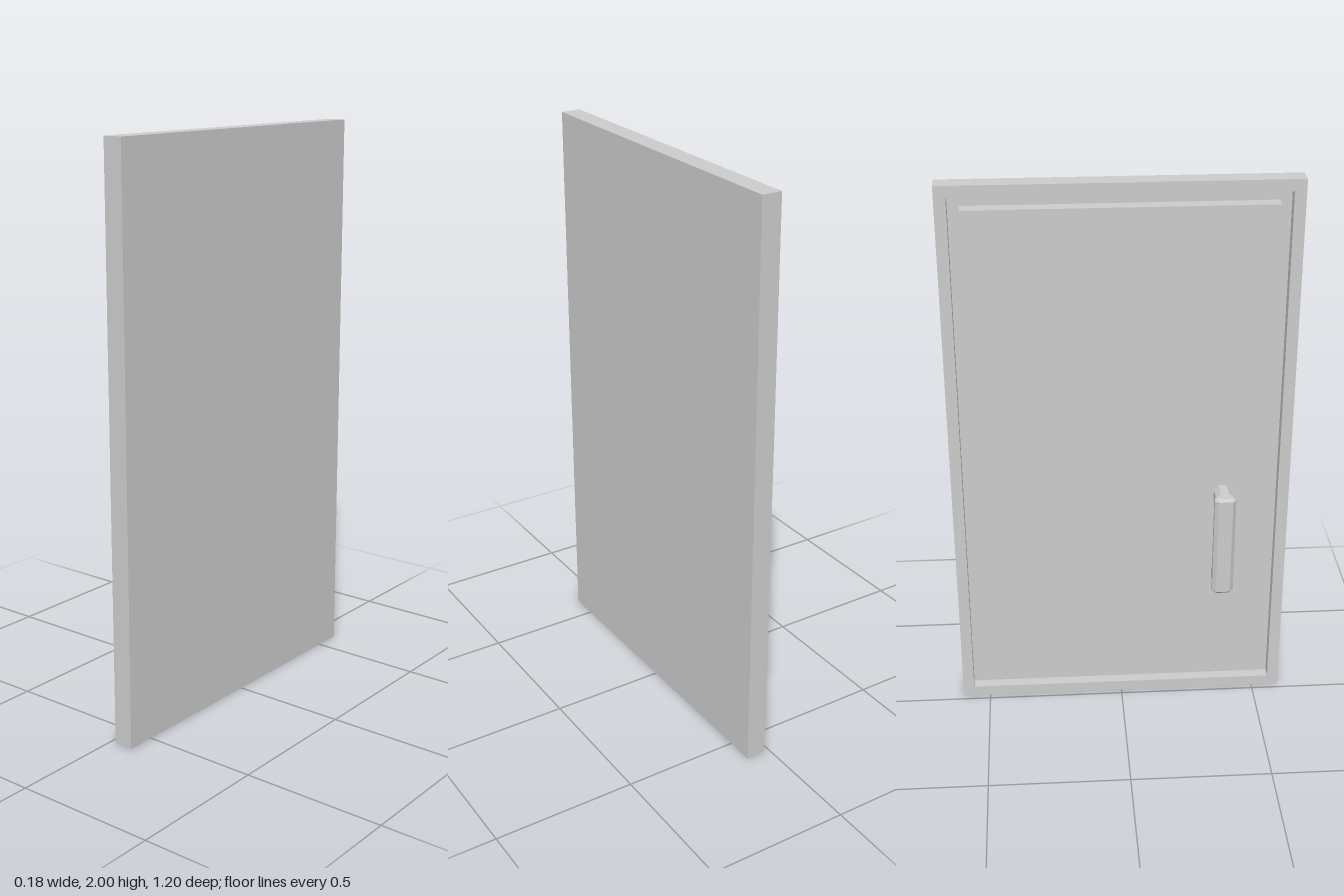
import * as THREE from 'three';

const material = new THREE.MeshStandardMaterial({ color: 0xcccccc, flatShading: true });

// Rectangle outline with corners cut by c (c = 0 keeps it square)
function outline(w, h, c = 0, Type = THREE.Shape) {
  const x = w / 2, y = h / 2;
  const pts = c
    ? [[x, -y + c], [x, y - c], [x - c, y], [-x + c, y], [-x, y - c], [-x, -y + c], [-x + c, -y], [x - c, -y]]
    : [[x, -y], [x, y], [-x, y], [-x, -y]];
  return new Type(pts.map(([a, b]) => new THREE.Vector2(a, b)));
}

export function createModel() {
  const model = new THREE.Group();
  model.name = 'cabinetDoor';

  const add = (parent, name, geometry, x, y, z) => {
    const mesh = new THREE.Mesh(geometry, material);
    mesh.name = name;
    mesh.position.set(x, y, z);
    parent.add(mesh);
    return mesh;
  };

  const face = 0.02, floor = 0.06, back = 0.09;

  // Door slab behind the groove
  add(model, 'backSlab', new THREE.BoxGeometry(back - floor, 2, 1.2), (floor + back) / 2, 1, 0);

  // Raised rim around the groove
  const rim = outline(1.2, 2);
  rim.holes.push(outline(1.12, 1.92, 0, THREE.Path));
  const rimGeometry = new THREE.ExtrudeGeometry(rim, { depth: floor - face, bevelEnabled: false });
  rimGeometry.rotateY(Math.PI / 2);
  add(model, 'rim', rimGeometry, face, 1, 0);

  // Inner panel standing slightly proud of the rim
  add(model, 'innerPanel', new THREE.BoxGeometry(0.05, 1.84, 1.04), 0.037, 1, 0);

  // Pull handle
  const handle = new THREE.Group();
  handle.name = 'handle';
  handle.position.set(0, 0.69, 0.36);
  model.add(handle);

  // Octagonal grip with chamfered ends
  const bevel = 0.012;
  const gripGeometry = new THREE.ExtrudeGeometry(outline(0.046, 0.076, 0.013), {
    depth: 0.396 - 2 * bevel, bevelThickness: bevel, bevelSize: bevel, bevelOffset: -bevel, bevelSegments: 1,
  });
  gripGeometry.translate(0, 0, -0.198 + bevel);
  gripGeometry.rotateX(-Math.PI / 2);
  add(handle, 'grip', gripGeometry, -0.068, 0, 0);

  // Legs joining the grip to the panel
  for (const side of [1, -1]) {
    const legGeometry = new THREE.ExtrudeGeometry(outline(0.062, 0.074, 0.016), { depth: 0.095, bevelEnabled: false });
    legGeometry.rotateY(Math.PI / 2);
    add(handle, side > 0 ? 'upperLeg' : 'lowerLeg', legGeometry, -0.08, side * 0.162, 0);
  }

  return model;
}
